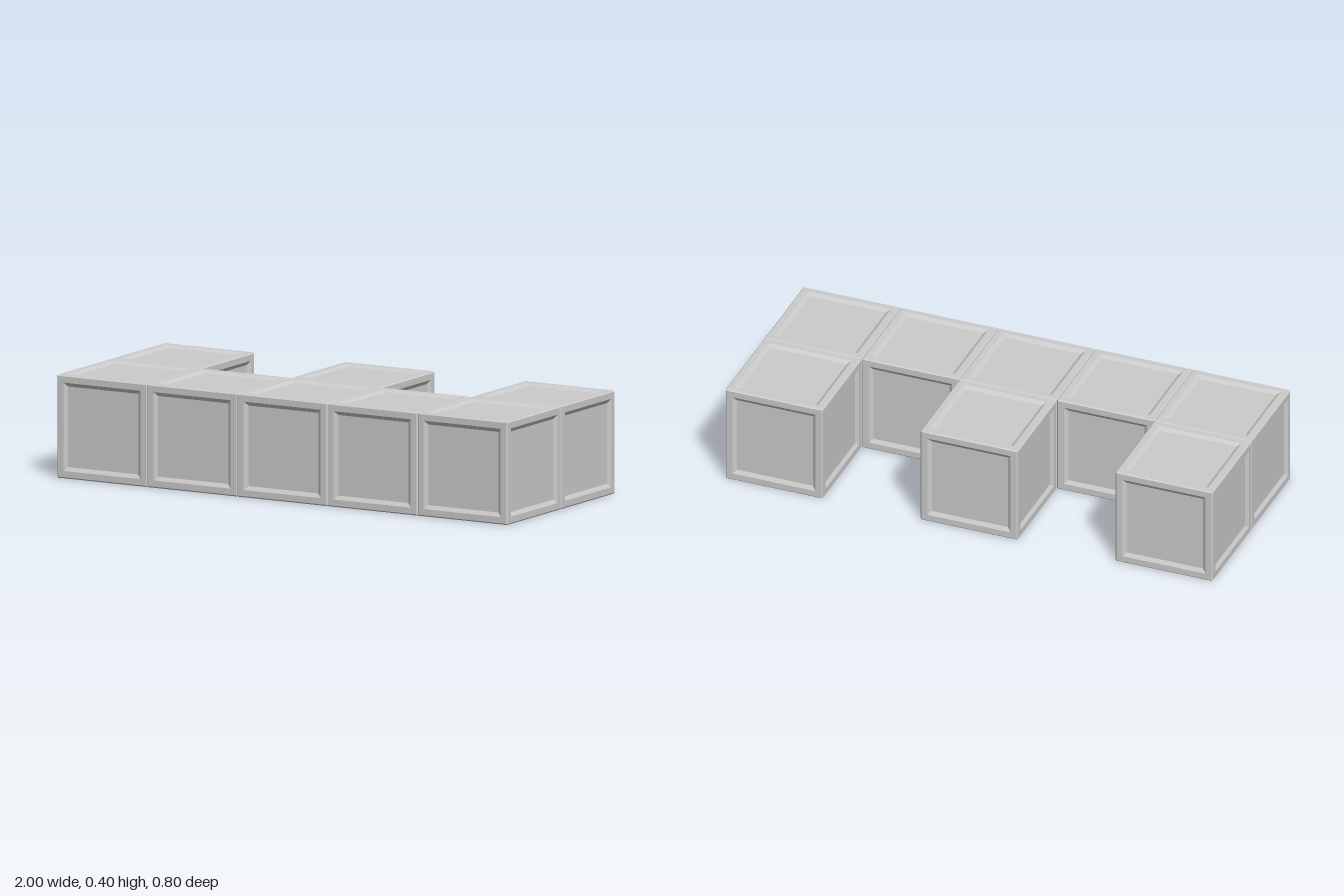
import * as THREE from 'three';
import { mergeGeometries } from 'three/addons/utils/BufferGeometryUtils.js';

const SIZE = 0.4;

// One square face: chamfered rim, flat frame, sloped step, recessed panel.
// Each profile entry is [half width, distance from the cube centre].
function faceGeometry() {
  const h = SIZE / 2;
  const profile = [
    [h - 0.0025, h - 0.0025],
    [h - 0.005, h],
    [0.171, h],
    [0.156, h - 0.01],
    [0, h - 0.01],
  ].map(([half, y]) => new THREE.Vector2(half * Math.SQRT2, y));
  return new THREE.LatheGeometry(profile, 4, Math.PI / 4).toNonIndexed();
}

// Six faces turned outwards make one panelled cube.
function cubeGeometry() {
  const q = Math.PI / 2;
  const turns = [[0, 0], [2 * q, 0], [q, 0], [-q, 0], [0, q], [0, -q]];
  const faces = turns.map(([rx, rz]) => faceGeometry().rotateX(rx).rotateZ(rz));
  const cube = mergeGeometries(faces);
  cube.computeVertexNormals();
  return cube;
}

export function createModel() {
  const model = new THREE.Group();
  model.name = 'panelledBlocks';
  const material = new THREE.MeshStandardMaterial({ color: 0xcccccc, flatShading: true });
  const geometry = cubeGeometry();

  const addCube = (name, column, z) => {
    const cube = new THREE.Mesh(geometry, material);
    cube.name = name;
    cube.position.set(column * SIZE, SIZE / 2, z);
    model.add(cube);
  };

  // Full front row, with a back cube behind every second one
  for (let column = -2; column <= 2; column++) {
    addCube(`frontCube${column + 3}`, column, SIZE / 2);
    if (column % 2 === 0) addCube(`backCube${column / 2 + 2}`, column, -SIZE / 2);
  }
  return model;
}
